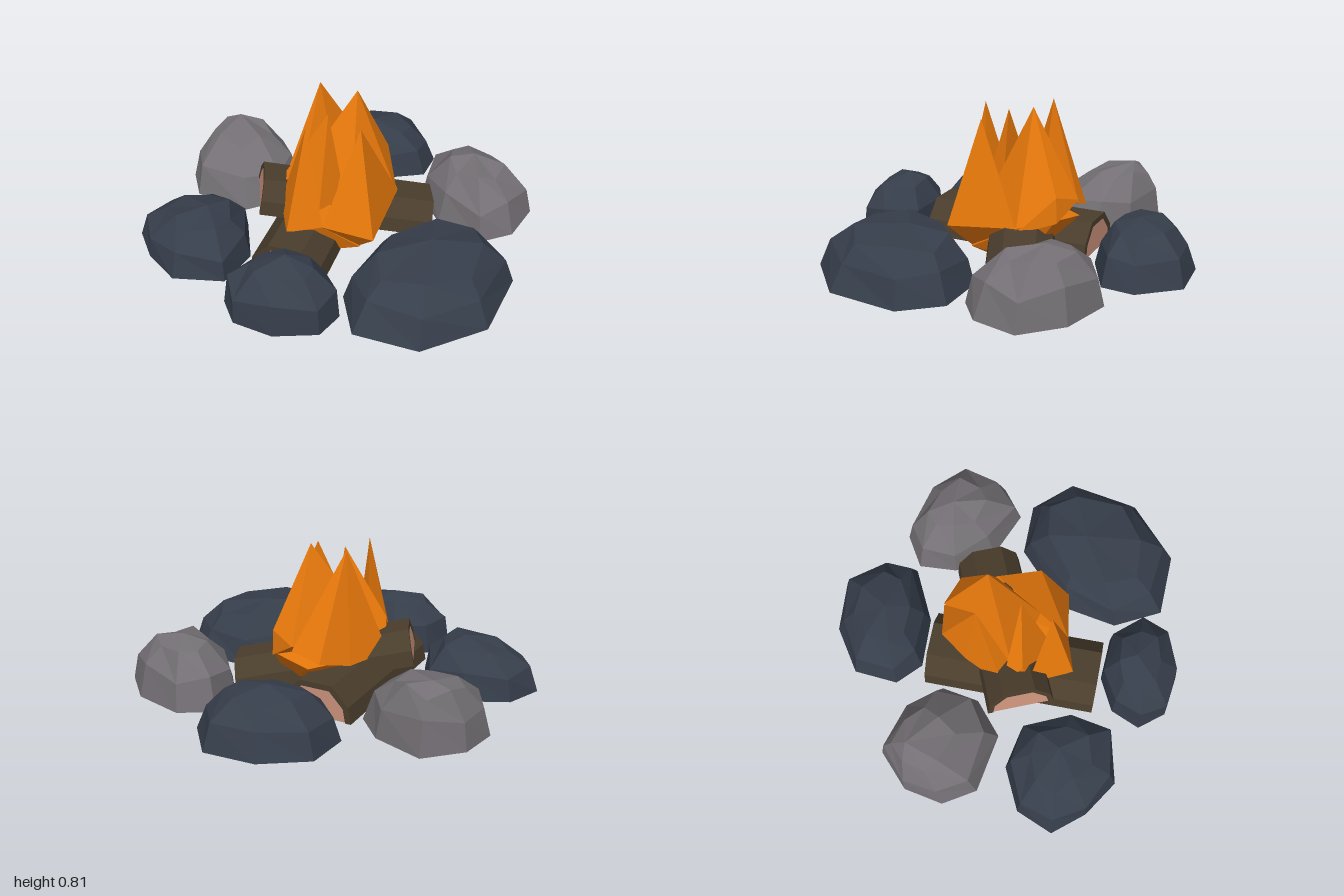
import * as THREE from 'three';
import { ConvexGeometry } from 'three/addons/geometries/ConvexGeometry.js';

const paint = (name, color, side = THREE.FrontSide) =>
  Object.assign(new THREE.MeshStandardMaterial({ color, flatShading: true, side }), { name });

function addMesh(parent, name, geometry, material) {
  const mesh = new THREE.Mesh(geometry, material);
  mesh.name = name;
  parent.add(mesh);
  return mesh;
}

// Rough stone: a ground outline stepping inward to a peak, open underneath
function stoneGeometry(outline, peak, [middle, upper], seed) {
  const base = 0.042, n = outline.length, pos = [];
  const levels = [[0, 1], [0.5, middle], [0.85, upper]];
  const noise = (i, k) => Math.sin(seed * 7.3 + i * 2.9 + k * 4.1);
  const rings = levels.map(([t, s], k) => outline.map(([x, z], i) => {
    const scale = k ? s + 0.04 * noise(i, k) : s;
    const rise = k ? t + 0.06 * noise(i + 3, k) : t;
    return [peak[0] + (x - peak[0]) * scale, base + (peak[1] - base) * rise, peak[2] + (z - peak[2]) * scale];
  }));
  for (let i = 0; i < n; i++) {
    const j = (i + 1) % n;
    for (let k = 0; k < rings.length - 1; k++) {
      const a = rings[k][i], b = rings[k][j], c = rings[k + 1][j], d = rings[k + 1][i];
      pos.push(...a, ...c, ...b, ...a, ...d, ...c);
    }
    pos.push(...rings[2][i], ...peak, ...rings[2][j]);
  }
  const g = new THREE.BufferGeometry();
  g.setAttribute('position', new THREE.Float32BufferAttribute(pos, 3));
  g.computeVertexNormals();
  return g;
}

// Split log lying along z, flat side down: bark shell around a pale core
function makeLog(name, width, length, bark, wood) {
  const log = new THREE.Group();
  log.name = name;
  const arc = [[0.5, 0], [0.46, 0.22], [0.23, 0.46], [-0.23, 0.46], [-0.46, 0.22], [-0.5, 0]];
  const scaled = s => arc.map(([x, y]) => new THREE.Vector2(x * width * s, y * width * s));
  const extrude = (points, depth) =>
    new THREE.ExtrudeGeometry(new THREE.Shape(points), { depth, bevelEnabled: false }).translate(0, 0, -depth / 2);
  addMesh(log, name + 'Bark', extrude([...scaled(1), ...scaled(0.84).reverse()], length), bark);
  const core = addMesh(log, name + 'Wood', extrude(scaled(0.84), length - 0.006), wood);
  core.position.y = 0.003;
  return log;
}

export function createModel() {
  const model = new THREE.Group();
  model.name = 'campfire';
  const slate = paint('slate', 0x363e4b, THREE.DoubleSide);
  const grey = paint('grey stone', 0x736f74, THREE.DoubleSide);
  const bark = paint('bark', 0x4a3d2c);
  const wood = paint('cut wood', 0xc89079);
  const fire = paint('flame orange', 0xf07d0c);

  // Ring of stones: peak, ring widths, then an outline clockwise from above in x, z
  const stones = [
    ['frontStone', slate, [0.06, 0.31, 0.58], [0.86, 0.64], [[-0.47, 0.63], [-0.34, 0.40], [-0.06, 0.28], [0.31, 0.37], [0.46, 0.60], [0.39, 0.83], [0.05, 1.0], [-0.30, 0.91]]],
    ['leftStone', grey, [0.69, 0.35, 0.22], [0.87, 0.5], [[0.66, -0.09], [0.83, -0.01], [0.92, 0.25], [0.87, 0.49], [0.65, 0.57], [0.47, 0.51], [0.42, 0.25], [0.50, 0.03]]],
    ['backLeftStone', slate, [0.54, 0.305, -0.43], [0.86, 0.56], [[0.47, -0.75], [0.71, -0.65], [0.87, -0.44], [0.80, -0.20], [0.65, -0.12], [0.39, -0.27], [0.24, -0.48], [0.27, -0.64]]],
    ['backStone', grey, [-0.07, 0.36, -0.86], [0.87, 0.5], [[-0.17, -1.0], [0.05, -0.95], [0.12, -0.69], [0.07, -0.49], [-0.11, -0.41], [-0.32, -0.47], [-0.44, -0.75], [-0.36, -0.92]]],
    ['backRightStone', slate, [-0.62, 0.29, -0.34], [0.92, 0.54], [[-0.66, -0.68], [-0.46, -0.56], [-0.38, -0.36], [-0.52, -0.13], [-0.73, -0.05], [-0.92, -0.23], [-0.92, -0.45], [-0.86, -0.64]]],
    ['rightStone', slate, [-0.58, 0.345, 0.27], [0.95, 0.56], [[-0.65, 0.04], [-0.49, 0.13], [-0.38, 0.32], [-0.44, 0.50], [-0.59, 0.54], [-0.77, 0.41], [-0.86, 0.22], [-0.81, 0.07]]],
  ];
  stones.forEach(([name, material, peak, widths, outline], i) =>
    addMesh(model, name, stoneGeometry(outline, peak, widths, i + 1), material));

  // Crossed logs, the upper one leaning on the lower
  const logs = [
    ['lowerLog', 0.38, 0.89, [-0.105, 0.05, -0.13], [0.74, -0.49], 0],
    ['upperLog', 0.34, 0.89, [0.03, 0.143, -0.07], [0.74, 0.50], 0.215],
  ];
  for (const [name, width, length, at, [dx, dz], tilt] of logs) {
    const log = makeLog(name, width, length, bark, wood);
    log.position.set(...at);
    log.rotation.set(tilt, Math.atan2(dx, dz), 0, 'YXZ');
    model.add(log);
  }

  // Fire: a shallow bowl with pointed tongues; the first point of each tongue is its tip
  const flames = {
    flameBowl: [[-0.01, 0, 0.05], [-0.22, 0.045, 0.05], [0.20, 0.045, 0.03], [-0.06, 0.07, 0.18], [0, 0.05, -0.13],
      [-0.36, 0.22, 0.01], [-0.25, 0.25, 0.12], [0.25, 0.25, 0.11], [0.33, 0.28, -0.07], [0.25, 0.25, -0.27], [-0.17, 0.25, -0.27]],
    frontFlame: [[-0.025, 0.745, 0.14], [-0.08, 0.20, 0.31], [-0.25, 0.25, 0.12], [0.25, 0.25, 0.11], [-0.06, 0.08, 0.18]],
    rightFlame: [[-0.24, 0.77, -0.01], [-0.39, 0.22, 0.01], [-0.25, 0.25, 0.12], [-0.27, 0.25, -0.20], [-0.24, 0.3, 0]],
    leftFlame: [[0.125, 0.81, -0.07], [0.335, 0.40, -0.07], [0.34, 0.27, -0.07], [0.25, 0.22, 0.11], [0.31, 0.36, -0.22], [-0.06, 0.28, 0.11], [0.02, 0.42, -0.19], [-0.18, 0.32, -0.22]],
    backFlame: [[0.03, 0.81, -0.25], [-0.18, 0.27, -0.30], [0.05, 0.25, -0.33], [0.22, 0.29, -0.33], [0.31, 0.34, -0.22], [-0.15, 0.3, -0.2], [0.05, 0.48, -0.19]],
    middleFlame: [[-0.075, 0.76, -0.05], [-0.23, 0.41, -0.20], [-0.27, 0.25, -0.17], [-0.17, 0.25, -0.28], [-0.03, 0.28, 0.02], [-0.2, 0.28, 0.03]],
  };
  for (const [name, points] of Object.entries(flames))
    addMesh(model, name, new ConvexGeometry(points.map(p => new THREE.Vector3(...p))), fire);

  return model;
}
